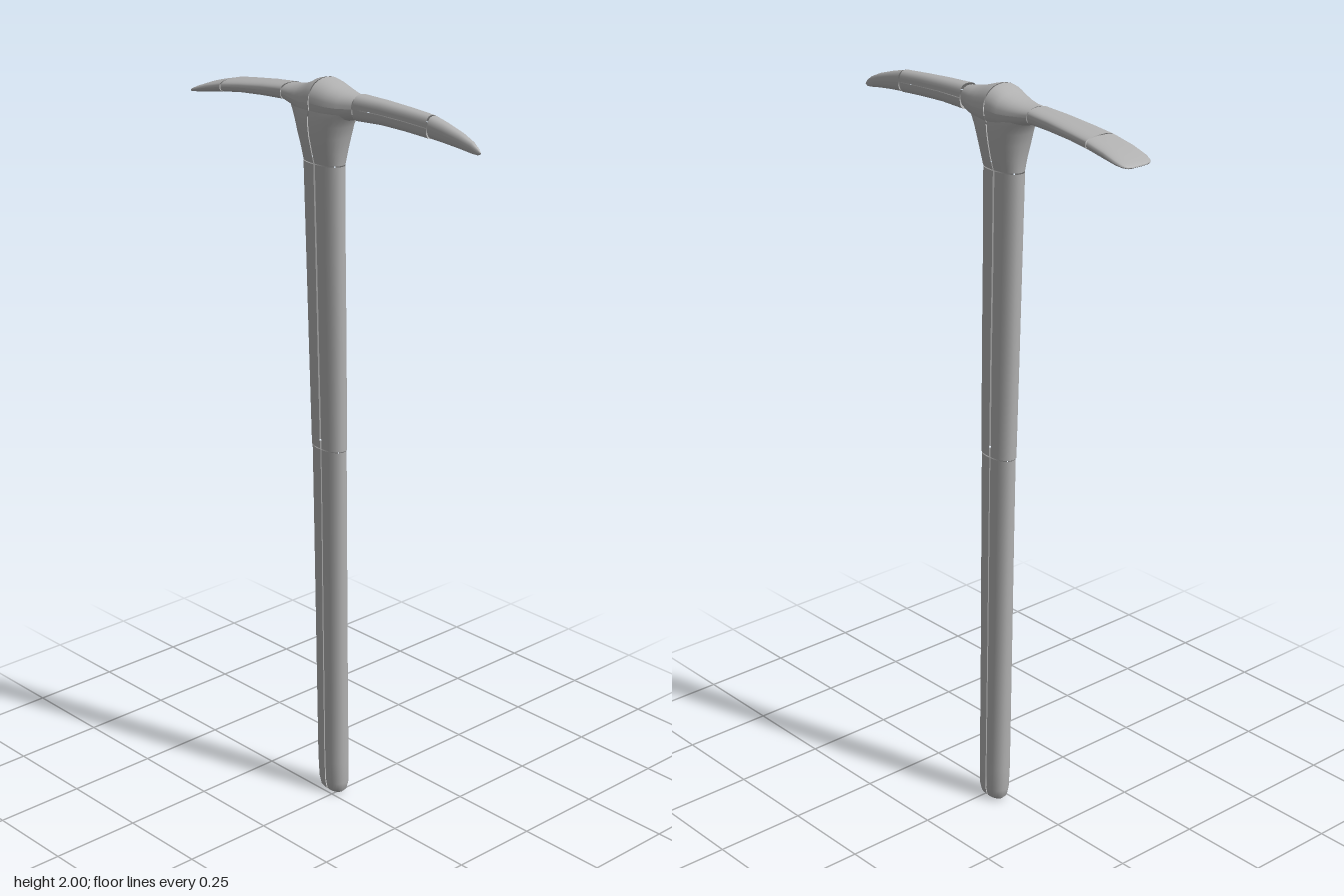
import * as THREE from 'three';

// Lofts one half of a tube. Each section is [t, u0, u1, v0, v1]:
// position along the axis, then the extents across it.
// axis 'y': u = x, v = z.  axis 'x': u = y, v = z.
function halfLoft(sections, axis, side, gap, power) {
  const N = 14, pos = [], index = [];
  const sp = (c) => Math.sign(c) * Math.pow(Math.abs(c), power);
  for (const [t, u0, u1, v0, v1] of sections) {
    for (let j = 0; j <= N; j++) {
      const a = (side > 0 ? -0.5 : 0.5) * Math.PI + (j / N) * Math.PI;
      const u = (u0 + u1) / 2 + ((u1 - u0) / 2) * sp(Math.cos(a)) + side * gap;
      const v = (v0 + v1) / 2 + ((v1 - v0) / 2) * sp(Math.sin(a));
      if (axis === 'y') pos.push(u, t, v);
      else pos.push(t, u, v);
    }
  }
  for (let i = 0; i < sections.length - 1; i++) {
    for (let j = 0; j < N; j++) {
      const a = i * (N + 1) + j, b = a + N + 1, c = a + 1, d = b + 1;
      if (axis === 'y') index.push(a, b, c, c, b, d);
      else index.push(a, c, b, c, d, b);
    }
  }
  const g = new THREE.BufferGeometry();
  g.setAttribute('position', new THREE.Float32BufferAttribute(pos, 3));
  g.setIndex(index);
  g.computeVertexNormals();
  return g;
}

export function createModel() {
  const model = new THREE.Group();
  model.name = 'pickaxe';
  const grey = new THREE.MeshStandardMaterial({ color: 0xb0b0b0, side: THREE.DoubleSide });
  grey.name = 'plain grey';

  // A part is a pair of half shells with a hairline seam between them
  function addPart(name, sections, axis, gap = 0.002, power = 0.9) {
    const part = new THREE.Group();
    part.name = name;
    for (const side of [1, -1]) {
      const mesh = new THREE.Mesh(halfLoft(sections, axis, side, gap, power), grey);
      mesh.name = name + (side > 0 ? 'SideA' : 'SideB');
      part.add(mesh);
    }
    model.add(part);
  }

  // Handle: two lengths, slightly leaning and widening upward
  addPart('lowerHandle', [
    [0.0, -0.022, -0.018, -0.03, -0.024],
    [0.003, -0.05, 0.01, -0.045, -0.009],
    [0.012, -0.059, 0.019, -0.053, -0.001],
    [0.035, -0.064, 0.024, -0.058, 0.004],
    [0.1, -0.067, 0.024, -0.058, 0.006],
    [0.5, -0.071, 0.025, -0.052, 0.01],
    [0.8, -0.074, 0.027, -0.048, 0.013],
    [1.02, -0.076, 0.028, -0.045, 0.016],
  ], 'y');
  addPart('upperHandle', [
    [1.023, -0.077, 0.029, -0.045, 0.017],
    [1.3, -0.081, 0.032, -0.041, 0.024],
    [1.55, -0.084, 0.034, -0.036, 0.03],
    [1.785, -0.087, 0.036, -0.033, 0.036],
  ], 'y', 0.003);

  // Collar: flares from the handle into the head
  addPart('collar', [
    [1.788, -0.087, 0.037, -0.034, 0.037],
    [1.82, -0.09, 0.042, -0.042, 0.046],
    [1.86, -0.099, 0.051, -0.05, 0.055],
    [1.89, -0.107, 0.06, -0.054, 0.059],
    [1.912, -0.118, 0.072, -0.055, 0.059],
    [1.925, -0.128, 0.082, -0.053, 0.057],
  ], 'y');

  // Head eye: swollen middle in two pieces
  addPart('eyeBladeSide', [
    [-0.146, 1.922, 1.966, -0.036, 0.038],
    [-0.12, 1.915, 1.968, -0.04, 0.041],
    [-0.09, 1.906, 1.974, -0.048, 0.048],
    [-0.06, 1.895, 1.985, -0.057, 0.055],
    [-0.04, 1.89, 1.996, -0.061, 0.058],
    [-0.023, 1.888, 2.0, -0.062, 0.059],
  ], 'x', 0);
  addPart('eyePickSide', [
    [-0.02, 1.888, 2.0, -0.062, 0.059],
    [0.0, 1.89, 1.996, -0.06, 0.057],
    [0.03, 1.896, 1.986, -0.055, 0.051],
    [0.06, 1.904, 1.978, -0.047, 0.042],
    [0.096, 1.914, 1.973, -0.034, 0.026],
  ], 'x', 0);

  // Flat adze blade, widening and curving down
  addPart('bladeArm', [
    [-0.36, 1.909, 1.942, -0.043, 0.053],
    [-0.3, 1.917, 1.95, -0.041, 0.049],
    [-0.22, 1.922, 1.96, -0.038, 0.043],
    [-0.149, 1.924, 1.966, -0.035, 0.037],
  ], 'x', 0, 0.7);
  addPart('bladeTip', [
    [-0.49, 1.893, 1.896, -0.018, 0.032],
    [-0.487, 1.891, 1.899, -0.03, 0.045],
    [-0.478, 1.892, 1.904, -0.039, 0.054],
    [-0.46, 1.894, 1.912, -0.044, 0.058],
    [-0.42, 1.9, 1.927, -0.045, 0.057],
    [-0.363, 1.909, 1.941, -0.043, 0.054],
  ], 'x', 0, 0.7);

  // Narrow pick arm and pointed tip
  addPart('pickArm', [
    [0.1, 1.912, 1.976, -0.034, 0.024],
    [0.18, 1.916, 1.974, -0.035, 0.018],
    [0.26, 1.914, 1.97, -0.035, 0.012],
    [0.334, 1.91, 1.965, -0.034, 0.007],
  ], 'x', 0.001, 0.75);
  addPart('pickTip', [
    [0.338, 1.91, 1.965, -0.036, 0.007],
    [0.38, 1.907, 1.955, -0.034, 0.004],
    [0.43, 1.902, 1.94, -0.031, -0.002],
    [0.465, 1.897, 1.925, -0.027, -0.009],
    [0.482, 1.896, 1.912, -0.023, -0.014],
    [0.49, 1.9, 1.903, -0.02, -0.018],
  ], 'x', 0, 0.85);

  return model;
}
